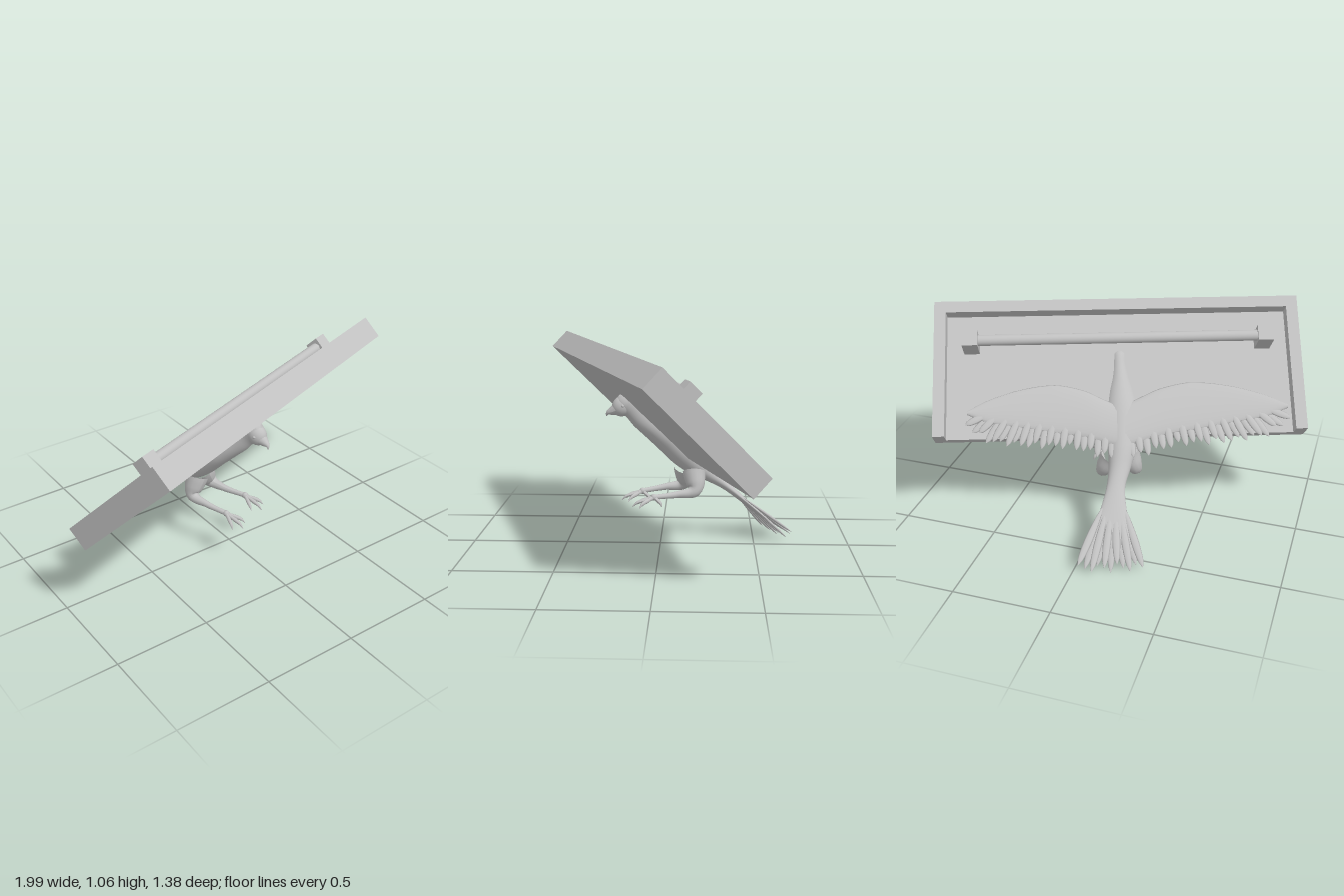
import * as THREE from 'three';

const V = (x, y, z) => new THREE.Vector3(x, y, z);
const X = V(1, 0, 0), Y = V(0, 1, 0), Z = V(0, 0, 1);

// Smooth skin through elliptical stations [x, y, z, radiusA, radiusB]; ellipses lie along axes A and B
function loft(stations, A, B, steps = 24, sides = 16) {
  const path = new THREE.CatmullRomCurve3(stations.map(s => V(s[0], s[1], s[2])));
  const size = new THREE.CatmullRomCurve3(stations.map(s => V(s[3], s[4], 0)));
  const along = path.getPoint(1).sub(path.getPoint(0));
  const b = B.clone();
  if (A.clone().cross(b).dot(along) < 0) b.negate();
  const pos = [], idx = [];
  for (let i = 0; i <= steps; i++) {
    const c = path.getPoint(i / steps), r = size.getPoint(i / steps);
    for (let j = 0; j < sides; j++) {
      const t = j / sides * Math.PI * 2;
      pos.push(...c.clone().addScaledVector(A, Math.cos(t) * Math.max(r.x, 0.001))
        .addScaledVector(b, Math.sin(t) * Math.max(r.y, 0.001)).toArray());
      if (i < steps) {
        const k = (j + 1) % sides, p = i * sides, q = p + sides;
        idx.push(p + j, p + k, q + j, p + k, q + k, q + j);
      }
    }
  }
  const g = new THREE.BufferGeometry();
  g.setAttribute('position', new THREE.Float32BufferAttribute(pos, 3));
  g.setIndex(idx);
  g.computeVertexNormals();
  return g;
}

// Tube whose radius follows a list of values
function taperedTube(points, radii, seg = 20, sides = 10) {
  const curve = new THREE.CatmullRomCurve3(points.map(p => V(...p)));
  const g = new THREE.TubeGeometry(curve, seg, 1, sides);
  const p = g.attributes.position, v = V(0, 0, 0);
  for (let i = 0; i < p.count; i++) {
    const t = Math.floor(i / (sides + 1)) / seg, f = t * (radii.length - 1);
    const k = Math.min(Math.floor(f), radii.length - 2);
    const c = curve.getPointAt(t);
    v.fromBufferAttribute(p, i).sub(c).multiplyScalar(THREE.MathUtils.lerp(radii[k], radii[k + 1], f - k)).add(c);
    p.setXYZ(i, v.x, v.y, v.z);
  }
  g.computeVertexNormals();
  return g;
}

// Piecewise linear lookup in rows [key, value]
function lookup(rows, k) {
  for (let i = 1; i < rows.length; i++) {
    if (k <= rows[i][0] || i === rows.length - 1) {
      const [a, b] = [rows[i - 1], rows[i]];
      return a[1] + (b[1] - a[1]) * (k - a[0]) / (b[0] - a[0]);
    }
  }
}

export function createModel() {
  const model = new THREE.Group();
  const grey = new THREE.MeshStandardMaterial({ color: 0xc0c0c0 });
  grey.name = 'plain grey';
  const add = (parent, geometry, name, x = 0, y = 0, z = 0) => {
    const m = new THREE.Mesh(geometry, grey);
    m.name = name;
    m.position.set(x, y, z);
    parent.add(m);
    return m;
  };

  // Tilted frame: x along the panel, y up its slope, -z out of its back
  const tilted = new THREE.Group();
  tilted.name = 'tiltedPanelAndBird';
  tilted.position.set(0.013, 0.715, 0.115);
  tilted.rotation.set(Math.PI / 4, THREE.MathUtils.degToRad(20), 0, 'YXZ');
  model.add(tilted);

  // Tray panel: floor with a rim on three sides, open along the lower edge
  const L = 1.9, H = 0.725, rim = 0.06, floor = 0.05, depth = 0.125;
  const tray = new THREE.Shape();
  const l = L / 2, h = H / 2;
  [[-l, -h], [-l + rim, -h], [-l + rim, h - rim], [l - rim, h - rim], [l - rim, -h], [l, -h], [l, h], [-l, h]]
    .forEach(([x, y], i) => i ? tray.lineTo(x, y) : tray.moveTo(x, y));
  add(tilted, new THREE.BoxGeometry(L, H, floor), 'panelFloor', 0, 0, -floor / 2);
  add(tilted, new THREE.ExtrudeGeometry(tray, { depth: depth - floor, bevelEnabled: false }), 'panelRim', 0, 0, -depth);

  // Rail held by two square blocks
  for (const s of [-1, 1]) add(tilted, new THREE.BoxGeometry(0.08, 0.08, 0.145), 'railBlock', s * 0.76, 0.136, -0.1175);
  add(tilted, new THREE.CylinderGeometry(0.028, 0.028, 1.46, 24).rotateZ(Math.PI / 2), 'rail', 0, 0.136, -0.148);

  // Bird body from crown to tail root
  add(tilted, loft([
    [-0.008, 0.132, 0.012, 0.002, 0.002], [-0.008, 0.118, 0.01, 0.03, 0.042],
    [-0.008, 0.08, 0.005, 0.048, 0.066], [-0.008, 0.03, 0, 0.047, 0.064],
    [-0.01, -0.04, 0, 0.057, 0.07], [-0.012, -0.12, -0.005, 0.076, 0.073],
    [-0.015, -0.22, -0.01, 0.09, 0.076], [-0.012, -0.33, -0.01, 0.087, 0.076],
    [-0.005, -0.43, -0.015, 0.072, 0.068], [0.012, -0.53, -0.025, 0.056, 0.044],
    [0.035, -0.63, -0.038, 0.048, 0.025], [0.055, -0.78, -0.048, 0.075, 0.014],
    [0.068, -0.9, -0.052, 0.11, 0.008], [0.07, -0.95, -0.053, 0.11, 0.001],
  ], X, Z, 60, 28), 'body');

  // Head front, hooked beak and eyes
  add(tilted, new THREE.SphereGeometry(1, 24, 16).scale(0.046, 0.052, 0.058), 'head', -0.012, 0.078, 0.036);
  add(tilted, taperedTube([[-0.014, 0.085, 0.06], [-0.02, 0.098, 0.092], [-0.027, 0.106, 0.115], [-0.033, 0.098, 0.131]],
    [0.04, 0.026, 0.014, 0.001], 16, 14), 'beak');
  for (const s of [-1, 1]) add(tilted, new THREE.SphereGeometry(0.008, 12, 8), 'eye', -0.012 + s * 0.042, 0.09, 0.04);

  // Flat pointed feather from one point to another
  const feather = (a, b, width, name) => {
    const dir = V(...b).sub(V(...a)).normalize();
    const across = V(-dir.y, dir.x, 0).normalize();
    const at = (t, w) => [0, 1, 2].map(i => a[i] + (b[i] - a[i]) * t).concat([width * w, 0.008 * w]);
    add(tilted, loft([at(0, 0.1), at(0.25, 0.7), at(0.6, 1), at(0.88, 0.75), at(1, 0.05)], across, Z, 10, 8), name);
  };

  // Wings: thick leading surface with a row of fanned flight feathers
  const lead = [[0.02, -0.2], [0.1, -0.165], [0.2, -0.12], [0.34, -0.088], [0.45, -0.09], [0.6, -0.115], [0.75, -0.16], [0.87, -0.215]];
  const inner = [[0.02, -0.42], [0.2, -0.37], [0.45, -0.33], [0.75, -0.28], [0.87, -0.235]];
  const tips = [[0.06, -0.475], [0.3, -0.415], [0.54, -0.405], [0.76, -0.375], [0.88, -0.29]];
  for (const s of [-1, 1]) {
    const span = s < 0 ? 1 : 0.9;
    const side = s < 0 ? 'right' : 'left';
    add(tilted, loft(lead.map(([u, top]) => {
      const low = lookup(inner, u);
      return [s * u * span, (top + low) / 2, -0.062, (top - low) / 2, 0.026 - 0.018 * u];
    }), Y, Z, 32, 20), side + 'Wing');
    const count = 22;
    for (let i = 0; i < count; i++) {
      const t = i / (count - 1), u = 0.06 + 0.82 * t;
      const rootU = u - 0.02 - 0.13 * t * t;
      const top = lookup(lead, rootU), low = lookup(inner, rootU);
      const z = -0.066 - 0.008 * (i % 2) + 0.006 * t;
      feather([s * rootU * span, top * 0.45 + low * 0.55, z],
        [s * u * span, lookup(tips, u) + 0.014 * Math.sin(i * 2.4), z + 0.008], 0.02, side + 'WingFeather');
    }
  }

  // Fanned tail feathers in alternating layers
  for (let i = 0; i < 11; i++) {
    const t = i / 5 - 1;
    feather([0.05 + t * 0.05, -0.72, -0.05], [0.075 + t * 0.16, -1.035 + 0.02 * Math.sin(i * 2.1),
      -0.058 - t * 0.014 + (i % 2 ? 0.017 : -0.017)], 0.02, 'tailFeather');
  }

  // Legs reaching forward, with curled toes
  const legs = [
    { name: 'right', hip: [-0.115, 0.39, -0.13], knee: [-0.155, 0.29, -0.115], shin: [-0.135, 0.275, -0.02], ankle: [-0.09, 0.262, 0.1] },
    { name: 'left', hip: [-0.045, 0.38, -0.18], knee: [0.005, 0.29, -0.18], shin: [0.035, 0.275, -0.09], ankle: [0.085, 0.272, 0.03] },
  ];
  for (const { name, hip, knee, shin, ankle } of legs) {
    add(model, taperedTube([hip, knee, shin, ankle], [0.062, 0.05, 0.027, 0.018, 0.014, 0.013], 28, 14), name + 'Leg');
    add(model, new THREE.SphereGeometry(0.017, 14, 10), name + 'Ankle', ...ankle);
    for (const [angle, reach] of [[-0.25, 0.09], [0.25, 0.115], [0.75, 0.1], [2.6, 0.05]]) {
      const dx = Math.sin(angle) * reach, dz = Math.cos(angle) * reach;
      const p = (f, dy) => [ankle[0] + dx * f, ankle[1] + dy, ankle[2] + dz * f];
      add(model, taperedTube([p(0, 0), p(0.4, -0.012), p(0.8, -0.026), p(1, -0.046)],
        [0.012, 0.009, 0.011, 0.008, 0.001], 14, 8), name + 'Toe');
    }
  }
  return model;
}
